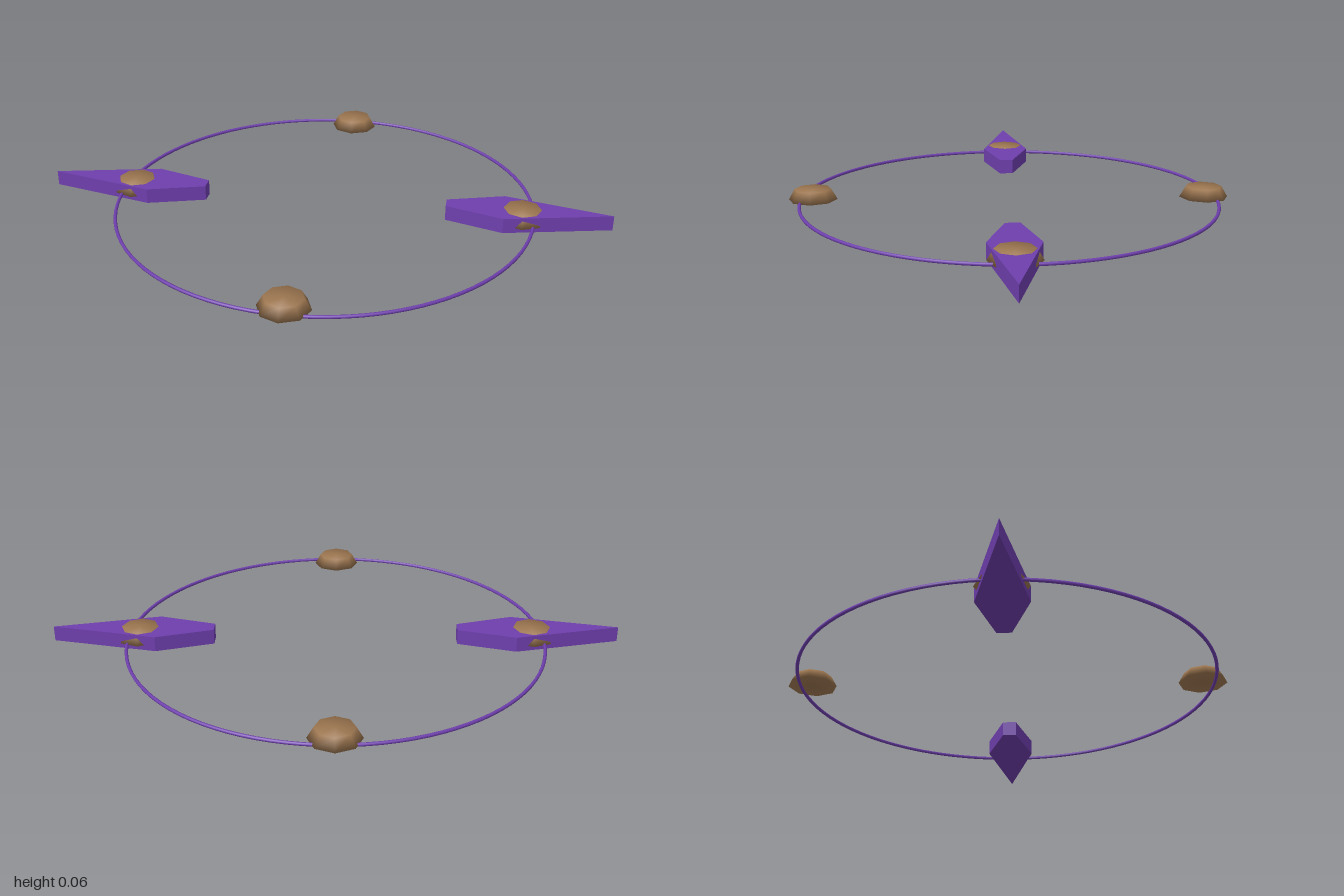
import * as THREE from 'three';
import { mergeVertices } from 'three/addons/utils/BufferGeometryUtils.js';

const purple = new THREE.MeshStandardMaterial({ color: 0x6f3fae });
const bronze = new THREE.MeshStandardMaterial({ color: 0x9c7650 });

function addMesh(group, name, geometry, material) {
  const mesh = new THREE.Mesh(geometry, material);
  mesh.name = name;
  group.add(mesh);
  return mesh;
}

// Eight-sided tapered stud with shared, softened normals
function studGeometry() {
  const g = new THREE.CylinderGeometry(0.064, 0.086, 0.038, 8, 1);
  g.deleteAttribute('normal');
  g.deleteAttribute('uv');
  const merged = mergeVertices(g);
  merged.computeVertexNormals();
  return merged;
}

// Flat kite-shaped blade pointing along +x, lying on the ground
function bladeGeometry() {
  const outline = [[0.43, -0.025], [0.63, -0.086], [1, 0], [0.63, 0.086], [0.43, 0.025]];
  const shape = new THREE.Shape(outline.map(([x, y]) => new THREE.Vector2(x, y)));
  const g = new THREE.ExtrudeGeometry(shape, { depth: 0.054, bevelEnabled: false });
  return g.rotateX(-Math.PI / 2);
}

export function createModel() {
  const model = new THREE.Group();
  model.name = 'ringOrnament';

  // Thin ring
  const ring = new THREE.TorusGeometry(0.734, 0.006, 8, 96).rotateX(Math.PI / 2);
  addMesh(model, 'ring', ring, purple).position.y = 0.018;

  // Two blades, left and right
  const blade = bladeGeometry();
  addMesh(model, 'leftBlade', blade, purple);
  addMesh(model, 'rightBlade', blade, purple).rotation.y = Math.PI;

  // Four studs around the ring
  const stud = studGeometry();
  ['frontStud', 'leftStud', 'backStud', 'rightStud'].forEach((name, i) => {
    const a = i * Math.PI / 2;
    addMesh(model, name, stud, bronze).position.set(0.693 * Math.sin(a), 0.037, 0.693 * Math.cos(a));
  });

  return model;
}
